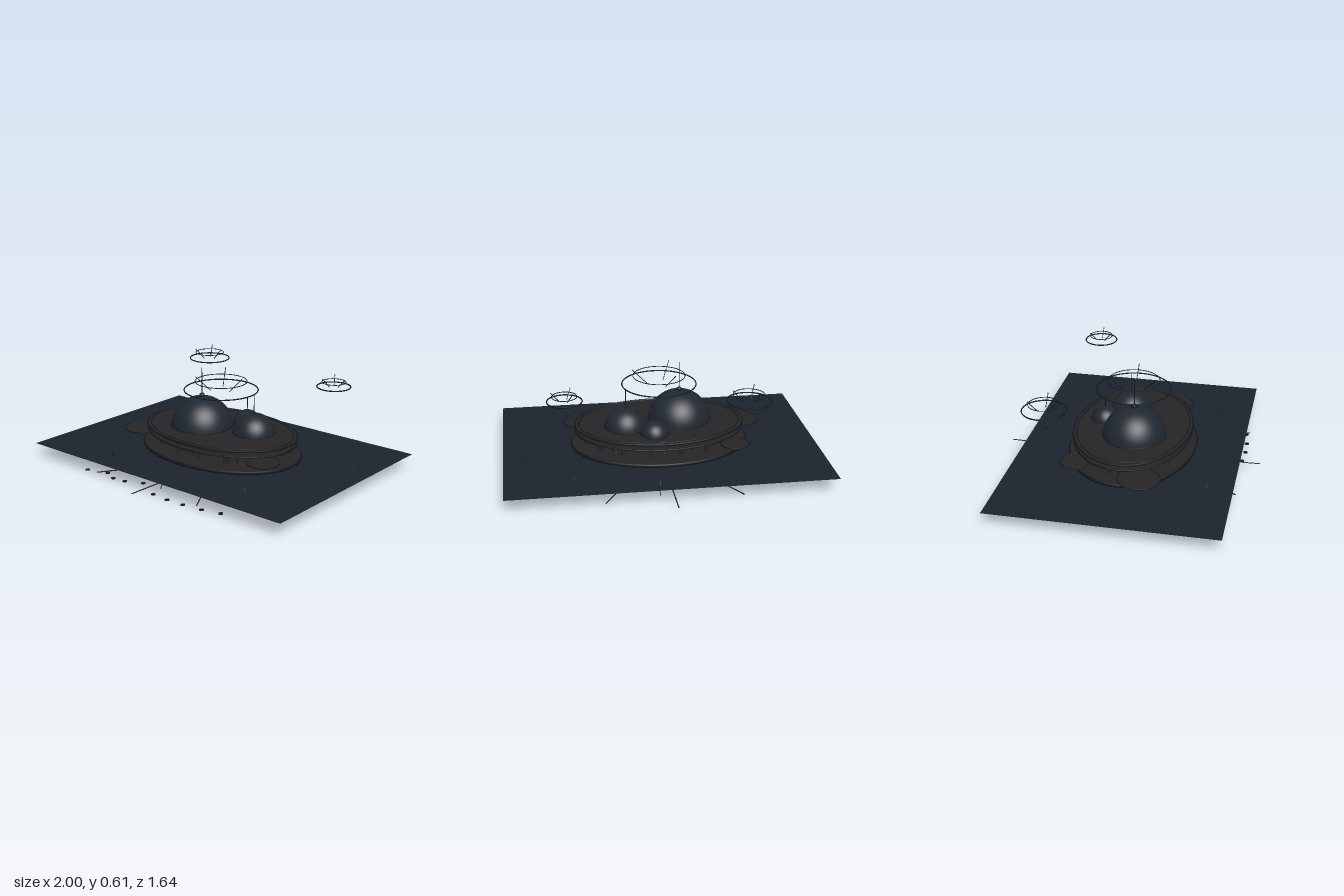
import * as THREE from 'three';

const mat = (color) => new THREE.MeshStandardMaterial({ color, side: THREE.DoubleSide });
const WATER = mat(0x1c232c), DECK = mat(0x252528), DOME = mat(0x1f2730), TRIM = mat(0x15171a);

export function createModel() {
  const model = new THREE.Group();

  const add = (name, geometry, material, x = 0, y = 0, z = 0) => {
    const mesh = new THREE.Mesh(geometry, material);
    mesh.name = name;
    mesh.position.set(x, y, z);
    model.add(mesh);
    return mesh;
  };
  // Thin straight rod between two points
  const rod = (name, a, b, r = 0.003, material = TRIM) => {
    const p = new THREE.Vector3(...a), q = new THREE.Vector3(...b);
    const mesh = add(name, new THREE.CylinderGeometry(r, r, p.distanceTo(q), 6), material);
    mesh.position.copy(p).add(q).multiplyScalar(0.5);
    mesh.quaternion.setFromUnitVectors(new THREE.Vector3(0, 1, 0), q.sub(p).normalize());
    return mesh;
  };
  // Horizontal hoop, round or oval
  const hoop = (name, rx, rz, tube, x, y, z, material = TRIM) => {
    const g = new THREE.TorusGeometry(1, tube / rx, 6, 72);
    g.rotateX(Math.PI / 2).scale(rx, rx, rz);
    return add(name, g, material, x, y, z);
  };
  // Oval slab from y0 to y1
  const slab = (name, rx, rz, y0, y1, material = DECK, rxBase = rx) => {
    const g = new THREE.CylinderGeometry(1, rxBase / rx, y1 - y0, 72);
    g.scale(rx, 1, rz);
    return add(name, g, material, 0, (y0 + y1) / 2, 0);
  };

  // Water sheet
  add('waterSheet', new THREE.PlaneGeometry(2, 1.4).rotateX(-Math.PI / 2), WATER, 0, 0.086, 0);

  // Lower platform and the concentric hoops beneath it
  slab('lowerPlatform', 0.56, 0.4, 0.088, 0.11);
  hoop('lowerPlatformRim', 0.562, 0.402, 0.011, 0, 0.1, 0);
  [[0.52, 0.04], [0.5, 0.056], [0.48, 0.072], [0.4, 0.03]].forEach(([r, y]) =>
    hoop('underwaterHoop', r, r, 0.004, 0, y, 0));

  // Upper deck as a stack of oval layers
  slab('deckUnderside', 0.5, 0.35, 0.165, 0.185, DECK, 0.46);
  slab('deckBand', 0.53, 0.37, 0.183, 0.196);
  slab('deckCore', 0.5, 0.35, 0.196, 0.22);
  slab('deckTop', 0.535, 0.372, 0.218, 0.23);
  hoop('deckRim', 0.54, 0.377, 0.006, 0, 0.227, 0);
  hoop('deckBandRim', 0.538, 0.375, 0.005, 0, 0.19, 0);
  hoop('deckInnerLine', 0.515, 0.355, 0.004, 0, 0.231, 0);

  // Tapered columns and hanging blocks between platform and deck
  for (let i = 0; i < 8; i++) {
    const a = (i / 8) * Math.PI * 2;
    add('column', new THREE.CylinderGeometry(0.015, 0.026, 0.075, 12), DECK,
      Math.sin(a) * 0.42, 0.145, Math.cos(a) * 0.24);
  }
  for (let i = 0; i < 16; i++) {
    const a = ((i + 0.5) / 16) * Math.PI * 2;
    add('hangingBlock', new THREE.CylinderGeometry(0.015, 0.015, 0.045, 10), DECK,
      Math.sin(a) * 0.47, 0.15, Math.cos(a) * 0.32);
  }

  // Round landing pads at the deck edge
  [[-0.545, 0.14, 0.13, 0.15], [0.5, 0.205, 0.1, 0.165], [-0.44, -0.28, 0.09, 0.165]].forEach(([x, z, r, y]) => {
    add('landingPad', new THREE.CylinderGeometry(r, r, 0.008, 40), DECK, x, y, z);
    hoop('landingPadRim', r, r, 0.003, x, y + 0.004, z);
  });

  // Domes with their masts
  [[-0.135, 0.03, 0.2, 0.61], [0.22, -0.06, 0.135, 0.48], [0.055, -0.2, 0.09, 0.39]].forEach(([x, z, r, top], i) => {
    add('dome', new THREE.SphereGeometry(r, 48, 24, 0, Math.PI * 2, 0, Math.PI / 2), DOME, x, 0.222, z);
    hoop('domeCollar', r, r, 0.004, x, 0.232, z);
    rod('mast', [x, i ? 0.222 : 0, z], [x, top, z], 0.0025);
  });
  add('mastBall', new THREE.SphereGeometry(0.018, 16, 12), TRIM, -0.135, 0.427, 0.03);

  // Floating hoops, each with a smaller upper hoop and three flared struts
  [[0, 0.485, 0, 0.235, 0.17, 0.055, 0.1, 0.07],
    [-0.48, 0.52, -0.45, 0.135, 0.1, 0.04, 0.07, 0.04],
    [0.615, 0.54, -0.355, 0.105, 0.08, 0.03, 0.057, 0.03]].forEach(([x, y, z, r, r2, h, rise, foot]) => {
    hoop('floatingHoop', r, r, 0.004, x, y, z);
    hoop('floatingUpperHoop', r2 - 0.005, r2 - 0.005, 0.0025, x, y + h, z);
    for (let k = 0; k < 3; k++) {
      const c = Math.cos(k * Math.PI * 2 / 3), s = Math.sin(k * Math.PI * 2 / 3);
      rod('floatingStrut', [x + c * foot, y, z + s * foot], [x + c * r2, y + rise, z + s * r2], 0.0025);
    }
  });

  // Radial mooring lines
  for (let i = 0; i < 12; i++) {
    const s = Math.sin(i * Math.PI / 6), c = Math.cos(i * Math.PI / 6);
    rod('mooringLine', [s * 0.5, 0.026, c * 0.5], [s * 0.82, 0.032, c * 0.82], 0.0035);
  }

  // Leaning marker poles that pierce the water sheet
  [[-0.84, -0.29], [0.9, -0.2], [0.59, -0.5], [0.59, 0.49], [-0.455, 0.55], [0.08, 0.635], [0.08, -0.635]].forEach(([x, z]) => {
    const k = 0.025 / Math.hypot(x, z);
    rod('markerPole', [x * (1 + k), 0.035, z * (1 + k)], [x * (1 - k), 0.108, z * (1 - k)], 0.003);
  });
  [[-0.84, -0.2], [0.585, 0.3], [0.585, -0.49], [-0.46, 0.49]].forEach(([x, z]) =>
    add('float', new THREE.SphereGeometry(0.011, 12, 8), TRIM, x, 0.073, z));

  // Stepping discs along the front edge
  [[-0.54, 0.67], [-0.4, 0.63], [-0.31, 0.67], [-0.22, 0.66], [-0.11, 0.61], [0.06, 0.7],
    [0.18, 0.71], [0.3, 0.705], [0.43, 0.69], [0.55, 0.66]].forEach(([x, z]) =>
    add('steppingDisc', new THREE.CylinderGeometry(0.014, 0.014, 0.006, 16), TRIM, x, 0.006, z));

  return model;
}
